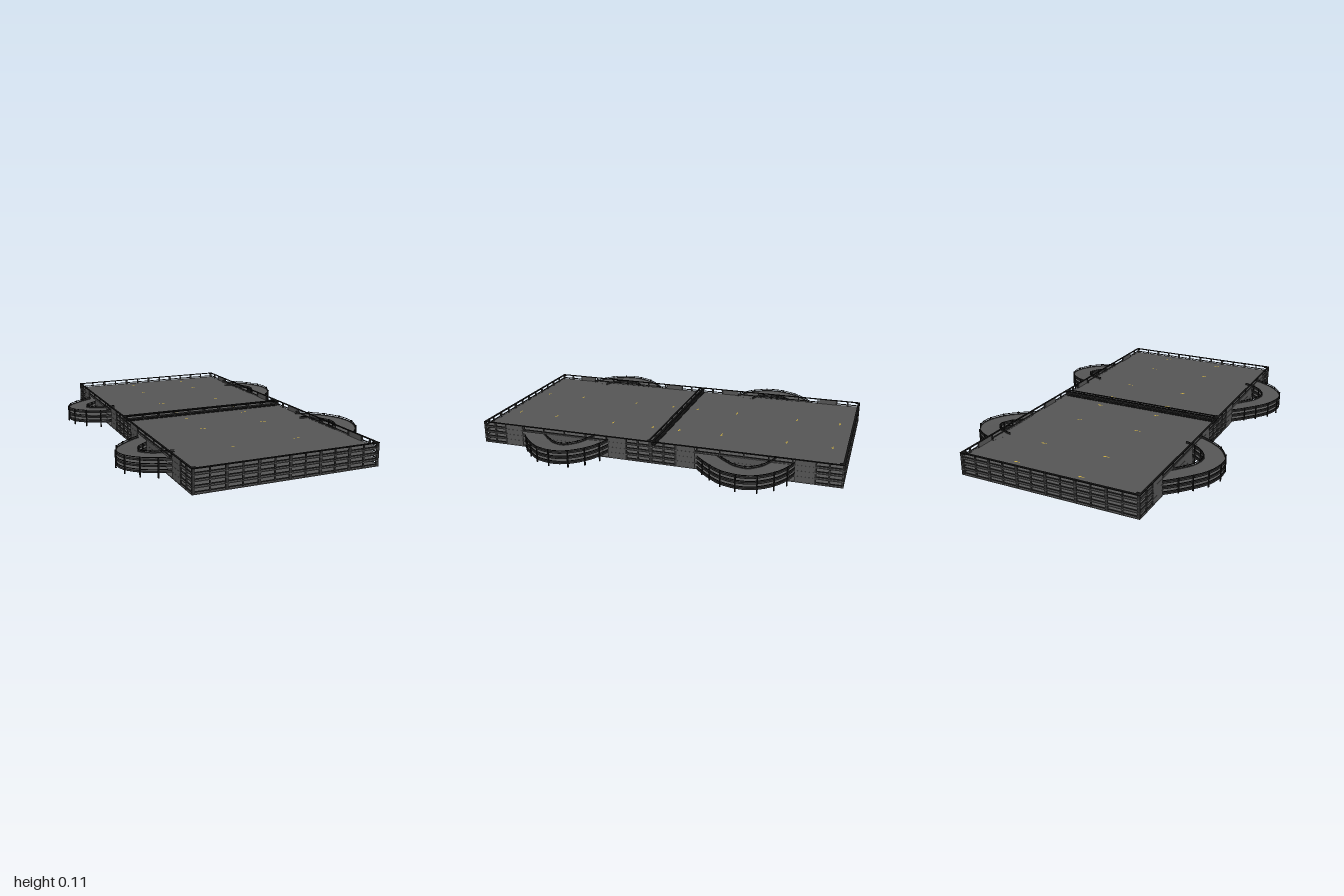
import * as THREE from 'three';

const HALF_L = 0.911, HALF_W = 0.453, STOREY = 0.027, SLAB = 0.004, FLOORS = 4;

const concrete = new THREE.MeshStandardMaterial({ color: 0x555555 });
concrete.name = 'concrete';
const darkRail = new THREE.MeshStandardMaterial({ color: 0x303030 });
darkRail.name = 'dark grey rail';
const black = new THREE.MeshStandardMaterial({ color: 0x121212 });
black.name = 'black steel';
const yellow = new THREE.MeshStandardMaterial({ color: 0xc8a93c });
yellow.name = 'yellow paint';

function box(parent, name, mat, w, h, d, x, y, z) {
  const m = new THREE.Mesh(new THREE.BoxGeometry(w, h, d), mat);
  m.name = name;
  m.position.set(x, y, z);
  parent.add(m);
  return m;
}

// Rectangular bar swept along a plan curve; height(t) gives its underside.
function sweep(curve, from, to, height, thick, steps = 28) {
  const pos = [], idx = [];
  for (let i = 0; i <= steps; i++) {
    const t = i / steps;
    const p = curve.getPointAt(t), d = curve.getTangentAt(t);
    const nx = d.y, nz = -d.x, y = height(t);
    for (const [o, dy] of [[from, 0], [to, 0], [to, thick], [from, thick]])
      pos.push(p.x + nx * o, y + dy, p.y + nz * o);
    if (i < steps) {
      for (let k = 0; k < 4; k++) {
        const a = i * 4 + k, b = i * 4 + (k + 1) % 4;
        idx.push(a, b, a + 4, b, b + 4, a + 4);
      }
    }
  }
  const e = steps * 4;
  idx.push(0, 2, 1, 0, 3, 2, e, e + 1, e + 2, e, e + 2, e + 3);
  const g = new THREE.BufferGeometry();
  g.setAttribute('position', new THREE.Float32BufferAttribute(pos, 3));
  g.setIndex(idx);
  const flat = g.toNonIndexed();
  flat.computeVertexNormals();
  return flat;
}

// Curved ramps joining each pair of neighbouring floors
function makeRampTower() {
  const g = new THREE.Group();
  g.name = 'rampTower';
  const path = new THREE.CatmullRomCurve3([
    [-0.645, -0.42], [-0.632, -0.46], [-0.585, -0.535], [-0.505, -0.582],
    [-0.412, -0.56], [-0.345, -0.505], [-0.285, -0.44], [-0.27, -0.42],
  ].map(([x, z]) => new THREE.Vector3(x, z, 0)));
  const add = (name, mat, geo) => {
    const m = new THREE.Mesh(geo, mat);
    m.name = name;
    g.add(m);
  };
  for (let n = 0; n < FLOORS - 1; n++) {
    const base = t => (n + 1 - t) * STOREY;
    add('rampSlab', black, sweep(path, -0.05, 0.05, base, 0.003));
    add('rampSurface', concrete, sweep(path, -0.049, 0.049, t => base(t) + 0.003, 0.0012));
    for (const o of [-0.05, 0.047]) {
      add('rampLowerRail', darkRail, sweep(path, o, o + 0.003, t => base(t) + 0.003, 0.006));
      add('rampUpperRail', black, sweep(path, o, o + 0.003, t => base(t) + 0.013, 0.003));
    }
  }
  // posts standing on the ground outside the ramp
  for (let i = 1; i <= 7; i++) {
    const t = i / 8, p = path.getPointAt(t), d = path.getTangentAt(t);
    const top = (FLOORS - 1 - t) * STOREY + 0.017;
    for (const o of [-0.051, 0.051])
      box(g, 'rampPost', black, 0.006, top, 0.006, p.x + d.y * o, top / 2, p.y - d.x * o);
  }
  return g;
}

// One long facade at -z: solid panels, rails and posts, open at the ramp mouths
function makeLongFacade() {
  const g = new THREE.Group();
  g.name = 'longFacade';
  const z = -HALF_W + 0.004, top = FLOORS * STOREY + SLAB;
  for (const shift of [0, HALF_L]) {
    const u = x => x - HALF_L + shift;
    for (const [a, b] of [[0.13, 0.22], [0.345, 0.555], [0.69, 0.78]]) {
      const h = a === 0.345 ? FLOORS * STOREY - 0.022 : top - 0.003;
      box(g, 'wallPanel', concrete, b - a, h, 0.006, u((a + b) / 2), h / 2, z);
    }
    for (const [a, b] of [[0, 0.13], [0.78, 0.911]]) {
      for (let n = 0; n < FLOORS; n++)
        box(g, 'midRail', darkRail, b - a, 0.004, 0.005, u((a + b) / 2), n * STOREY + 0.011, z);
      for (const t of [0.03, 0.5, 0.97])
        box(g, 'facadePost', darkRail, 0.008, top, 0.007, u(a + (b - a) * t), top / 2, z);
    }
    // rooftop guard over the ramps
    box(g, 'roofMidRail', darkRail, 0.47, 0.004, 0.005, u(0.455), 3 * STOREY + 0.011, z);
    for (const x of [0.23, 0.34, 0.455, 0.57, 0.68])
      box(g, 'roofPost', darkRail, 0.006, STOREY, 0.006, u(x), 3.5 * STOREY, z);
  }
  box(g, 'topRail', black, HALF_L * 2, SLAB, 0.009, 0, top - SLAB / 2, z);
  return g;
}

// One short facade at +x: rails and regular posts
function makeEndFacade() {
  const g = new THREE.Group();
  g.name = 'endFacade';
  const x = HALF_L - 0.005, top = FLOORS * STOREY + SLAB;
  for (let n = 0; n < FLOORS; n++)
    box(g, 'midRail', darkRail, 0.005, 0.004, HALF_W * 2, x, n * STOREY + 0.011, 0);
  box(g, 'topRail', black, 0.011, SLAB, HALF_W * 2, x, top - SLAB / 2, 0);
  for (let i = 0; i <= 12; i++)
    box(g, 'facadePost', darkRail, 0.007, top - 0.001, i % 2 ? 0.006 : 0.012,
      x, (top - 0.001) / 2, (i / 6 - 1) * (HALF_W - 0.007));
  for (const s of [-1, 1])
    box(g, 'cornerCap', black, 0.024, SLAB, 0.024, HALF_L - 0.012, top - SLAB / 2, s * (HALF_W - 0.012));
  return g;
}

// Painted direction arrow lying on the roof
function arrowGeometry() {
  const s = new THREE.Shape([
    [-0.002, -0.016], [0.002, -0.016], [0.002, 0.003], [0.007, 0.003],
    [0, 0.018], [-0.007, 0.003], [-0.002, 0.003],
  ].map(p => new THREE.Vector2(...p)));
  return new THREE.ShapeGeometry(s).rotateX(-Math.PI / 2);
}

export function createModel() {
  const model = new THREE.Group();
  model.name = 'carPark';
  const building = new THREE.Group();
  building.name = 'building';
  building.rotation.y = -Math.PI / 12;
  model.add(building);

  // floor slabs and columns
  for (let n = 0; n < FLOORS; n++)
    box(building, n === FLOORS - 1 ? 'roofDeck' : 'floorSlab', concrete,
      HALF_L * 2, SLAB, HALF_W * 2, 0, n * STOREY + SLAB / 2, 0);
  for (const x of [-0.72, -0.455, -0.19, 0.19, 0.455, 0.72])
    for (const z of [-0.2, 0.14])
      box(building, 'column', concrete, 0.012, 3 * STOREY, 0.012, x, 1.5 * STOREY, z);

  // the two sides and their ramps are the same turned half round
  for (const turn of [0, Math.PI]) {
    const side = new THREE.Group();
    side.name = turn ? 'frontSide' : 'backSide';
    side.rotation.y = turn;
    side.add(makeLongFacade(), makeEndFacade());
    for (const shift of [0, HALF_L]) {
      const ramp = makeRampTower();
      ramp.position.x = shift;
      side.add(ramp);
    }
    building.add(side);
  }

  // joint between the two halves with a double guard rail
  const deck = 3 * STOREY + SLAB, top = FLOORS * STOREY + SLAB;
  box(building, 'jointStrip', black, 0.03, 0.002, HALF_W * 2 - 0.03, 0, deck + 0.001, 0);
  for (const x of [-0.011, 0.011]) {
    box(building, 'jointTopRail', black, 0.008, SLAB, HALF_W * 2 - 0.02, x, top - SLAB / 2, 0);
    box(building, 'jointMidRail', darkRail, 0.004, 0.004, HALF_W * 2 - 0.02, x, deck + 0.008, 0);
    for (let i = 0; i <= 10; i++)
      box(building, 'jointPost', darkRail, 0.006, STOREY - SLAB, 0.006,
        x, deck + (STOREY - SLAB) / 2, (i / 5 - 1) * (HALF_W - 0.02));
  }
  for (const s of [-1, 1])
    box(building, 'jointCap', black, 0.04, SLAB, 0.02, 0, top - SLAB / 2, s * (HALF_W - 0.012));

  // roof markings
  const arrow = arrowGeometry();
  for (const x of [-0.833, -0.612, -0.286, -0.064, 0.078, 0.298, 0.626, 0.843])
    for (const z of [-0.198, 0.136]) {
      const m = new THREE.Mesh(arrow, yellow);
      m.name = 'roofArrow';
      m.position.set(x, deck + 0.0015, z);
      building.add(m);
    }
  return model;
}
